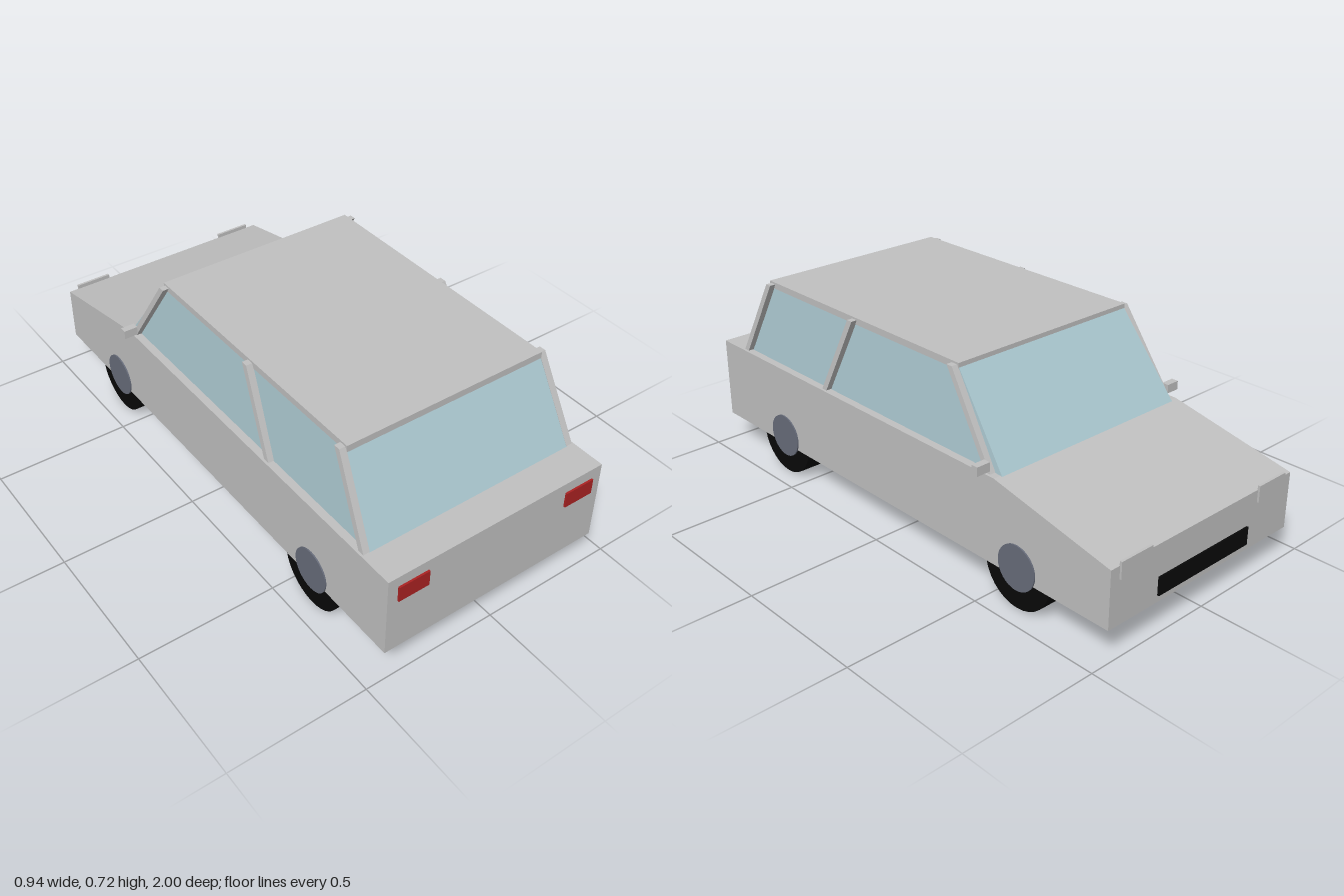
import * as THREE from 'three';

const mat = (name, color) => {
  const m = new THREE.MeshStandardMaterial({ color });
  m.name = name;
  return m;
};

export function createModel() {
  const car = new THREE.Group();
  car.name = 'car';
  const paint = mat('silverPaint', 0xc0c0c0);
  const glass = mat('paleBlueGlass', 0xabc8d0);
  const black = mat('black', 0x080808);
  const steel = mat('wheelSteel', 0x676c7a);
  const red = mat('tailRed', 0xaa2222);

  const add = (name, geometry, material) => {
    const mesh = new THREE.Mesh(geometry, material);
    mesh.name = name;
    car.add(mesh);
    return mesh;
  };

  // Box given by its limits on each axis
  const box = (name, [x0, x1], [y0, y1], [z0, z1], material) =>
    add(name, new THREE.BoxGeometry(x1 - x0, y1 - y0, z1 - z0)
      .translate((x0 + x1) / 2, (y0 + y1) / 2, (z0 + z1) / 2), material);

  // Side profile of [z, y] points extruded across the car
  const prism = (points, halfWidth) =>
    new THREE.ExtrudeGeometry(new THREE.Shape(points.map(p => new THREE.Vector2(...p))),
      { depth: halfWidth * 2, bevelEnabled: false })
      .translate(0, 0, -halfWidth).rotateY(-Math.PI / 2);

  // Lower body with sloping bonnet
  add('body', prism([[0.993, 0.11], [0.993, 0.415], [-0.51, 0.415], [-0.993, 0.315], [-0.993, 0.11]], 0.43), paint);

  // Glasshouse, narrowing towards the roof
  const cabin = prism([[0.87, 0.41], [0.72, 0.7], [-0.3, 0.7], [-0.52, 0.41]], 1);
  const cp = cabin.attributes.position;
  for (let i = 0; i < cp.count; i++) {
    const t = (cp.getY(i) - 0.41) / 0.29;
    cp.setX(i, Math.sign(cp.getX(i)) * (0.402 - 0.022 * t));
  }
  cabin.computeVertexNormals();
  add('windows', cabin, glass);
  box('roof', [-0.382, 0.382], [0.692, 0.716], [-0.3, 0.725], paint);

  // Pillars: boxes sheared to lean inwards and along the car
  const pillar = (name, side, zBottom, zTop) => {
    const g = new THREE.BoxGeometry(0.024, 0.292, 0.024).toNonIndexed();
    const p = g.attributes.position;
    for (let i = 0; i < p.count; i++) {
      const t = p.getY(i) / 0.292 + 0.5;
      p.setXYZ(i, p.getX(i) + side * (0.411 - 0.019 * t), p.getY(i) + 0.563,
        p.getZ(i) + zBottom + (zTop - zBottom) * t);
    }
    g.computeVertexNormals();
    add(name, g, paint);
  };

  for (const side of [-1, 1]) {
    const label = side > 0 ? 'left' : 'right';
    const span = (a, b) => (side > 0 ? [a, b] : [-b, -a]);
    pillar(label + 'FrontPillar', side, -0.475, -0.28);
    pillar(label + 'MiddlePillar', side, 0.365, 0.225);
    pillar(label + 'RearPillar', side, 0.855, 0.705);
    box(label + 'Mirror', span(0.42, 0.472), [0.425, 0.457], [-0.482, -0.456], paint);
    box(label + 'Headlight', span(0.257, 0.392), [0.27, 0.33], [-1, -0.991], paint);
    box(label + 'TailLight', span(0.277, 0.392), [0.318, 0.376], [0.991, 1], red);

    // Wheels with the hub running through the tyre
    for (const [end, z] of [['Front', -0.615], ['Rear', 0.62]]) {
      add(label + end + 'Tyre', new THREE.CylinderGeometry(0.14, 0.14, 0.104, 32)
        .rotateZ(Math.PI / 2), black).position.set(side * 0.377, 0.14, z);
      add(label + end + 'Hub', new THREE.CylinderGeometry(0.08, 0.08, 0.118, 32)
        .rotateZ(Math.PI / 2), steel).position.set(side * 0.376, 0.147, z);
    }
  }

  box('grille', [-0.215, 0.215], [0.135, 0.2], [-1, -0.991], black);
  return car;
}
